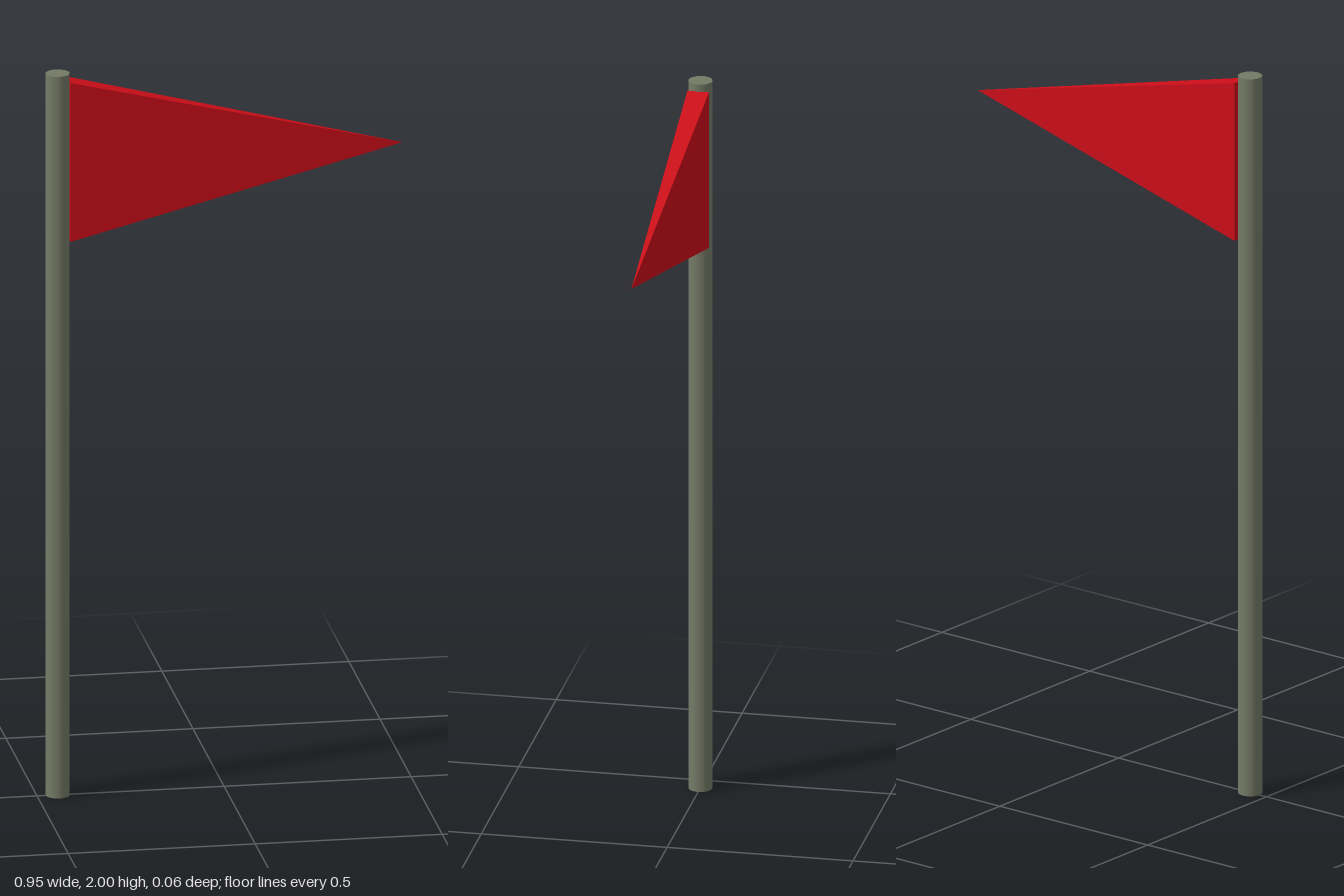
import * as THREE from 'three';

export function createModel() {
  const model = new THREE.Group();
  model.name = 'pennantOnPole';

  // Round pole
  const radius = 0.032, poleX = -0.445;
  const pole = new THREE.Mesh(
    new THREE.CylinderGeometry(radius, radius, 2, 32),
    new THREE.MeshStandardMaterial({ color: 0x757a66 })
  );
  pole.name = 'pole';
  pole.position.set(poleX, 1, 0);
  model.add(pole);

  // Pennant: a four-sided pyramid lying on its side, tapering to a point
  const baseX = -0.415, tipX = 0.477, length = tipX - baseX;
  const shape = new THREE.ConeGeometry(Math.SQRT1_2, 1, 4)
    .rotateY(Math.PI / 4)
    .scale(0.44, length, 0.058)
    .rotateZ(-Math.PI / 2);
  const pennant = new THREE.Mesh(
    shape,
    new THREE.MeshStandardMaterial({ color: 0xcc0d18, flatShading: true })
  );
  pennant.name = 'pennant';
  pennant.position.set(baseX + length / 2, 1.76, 0);
  model.add(pennant);

  return model;
}
